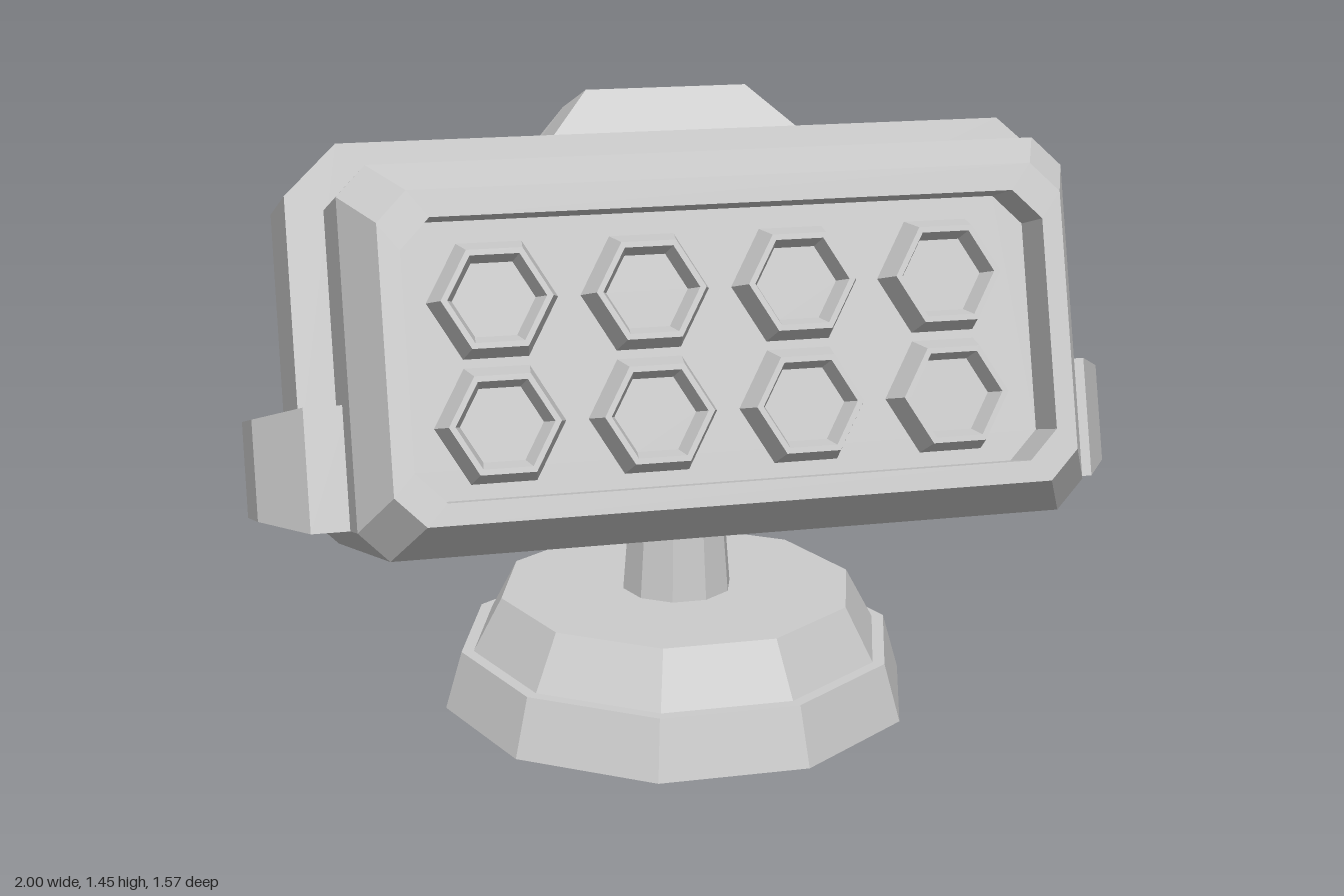
import * as THREE from 'three';

const material = new THREE.MeshStandardMaterial({ color: 0xcccccc, flatShading: true });

// Joins equal-sized loops of [x, y] placed at successive z, and caps both ends.
// sections: [{ z, pts }], pts counter-clockwise seen from +z
function loft(sections, capStart = true) {
  const pos = [];
  const put = (s, i) => {
    const p = s.pts[i % s.pts.length];
    pos.push(p[0], p[1], s.z);
  };
  const n = sections[0].pts.length;
  for (let k = 0; k + 1 < sections.length; k++) {
    const a = sections[k], b = sections[k + 1];
    for (let i = 0; i < n; i++) {
      put(a, i); put(a, i + 1); put(b, i + 1);
      put(a, i); put(b, i + 1); put(b, i);
    }
  }
  const first = sections[0], last = sections[sections.length - 1];
  for (let i = 1; i + 1 < n; i++) {
    if (capStart) { put(first, 0); put(first, i + 1); put(first, i); }
    put(last, 0); put(last, i); put(last, i + 1);
  }
  const g = new THREE.BufferGeometry();
  g.setAttribute('position', new THREE.Float32BufferAttribute(pos, 3));
  g.computeVertexNormals();
  return g;
}

// Rectangle with cut corners
function octagon(z, hx, y0, y1, c) {
  return { z, pts: [
    [hx, y0 + c], [hx, y1 - c], [hx - c, y1], [c - hx, y1],
    [-hx, y1 - c], [-hx, y0 + c], [c - hx, y0], [hx - c, y0],
  ] };
}

function hexagon(z, r, cx, cy) {
  const pts = [];
  for (let i = 0; i < 6; i++) {
    const a = (i * Math.PI) / 3;
    pts.push([cx + r * Math.cos(a), cy + r * Math.sin(a)]);
  }
  return { z, pts };
}

function add(parent, name, geometry) {
  const mesh = new THREE.Mesh(geometry, material);
  mesh.name = name;
  parent.add(mesh);
  return mesh;
}

export function createModel() {
  const model = new THREE.Group();
  model.name = 'launcherTurret';

  // Ten-sided stepped base and stem, corners facing sideways
  const base = new THREE.Group();
  base.name = 'base';
  base.position.z = 0.15;
  model.add(base);
  const drum = (name, rTop, rBottom, y0, y1) => {
    const g = new THREE.CylinderGeometry(rTop, rBottom, y1 - y0, 10);
    g.rotateY(Math.PI / 2).translate(0, (y0 + y1) / 2, 0);
    add(base, name, g);
  };
  drum('baseLower', 0.525, 0.565, 0, 0.138);
  drum('baseUpper', 0.427, 0.5, 0.13, 0.265);
  drum('stem', 0.105, 0.132, 0.26, 0.6);

  // Head, tilted upward about x
  const head = new THREE.Group();
  head.name = 'head';
  head.rotation.x = -0.288;
  model.add(head);

  // Housing with bevelled front and recessed panel
  add(head, 'housing', loft([
    octagon(-0.322, 0.815, 0.347, 1.185, 0.065),
    octagon(0.802, 0.815, 0.347, 1.185, 0.065),
    octagon(0.942, 0.75, 0.418, 1.114, 0.065),
    octagon(0.942, 0.705, 0.465, 1.056, 0.065),
    octagon(0.82, 0.705, 0.465, 1.056, 0.065),
  ]));

  // Two rows of hexagonal launch tubes
  for (const y of [0.62, 0.885]) {
    for (const x of [-0.5, -0.167, 0.167, 0.5]) {
      add(head, 'launchTube', loft([
        hexagon(0.82, 0.142, x, y),
        hexagon(0.888, 0.12, x, y),
        hexagon(0.888, 0.106, x, y),
        hexagon(0.84, 0.09, x, y),
      ], false));
    }
  }

  // Band wrapped over the top and sides
  const bandPts = [
    [-0.9, 0.6], [0.9, 0.6], [0.9, 1.155], [0.78, 1.267], [-0.78, 1.267], [-0.9, 1.155],
  ];
  add(head, 'band', loft([{ z: 0.1, pts: bandPts }, { z: 0.52, pts: bandPts }]));

  // Raised block on top of the band
  const block = (z, hx, top) => ({ z, pts: [[-0.285, 1.26], [0.285, 1.26], [hx, top], [-hx, top]] });
  add(head, 'topBlock', loft([
    block(0.1, 0.285, 1.267), block(0.165, 0.19, 1.377),
    block(0.449, 0.19, 1.377), block(0.52, 0.285, 1.267),
  ]));

  // Plate folded over the top and back
  const profile = [
    [0.11, 1.17], [0.11, 1.269], [-0.412, 1.269], [-0.453, 1.229],
    [-0.453, 0.708], [-0.41, 0.668], [-0.334, 0.668], [-0.334, 1.192], [-0.3, 1.192], [-0.3, 1.17],
  ].map(([z, y]) => new THREE.Vector2(z, y));
  const plate = new THREE.ExtrudeGeometry(new THREE.Shape(profile), { depth: 0.57, bevelEnabled: false });
  plate.translate(0, 0, -0.285).rotateY(-Math.PI / 2);
  add(head, 'backPlate', plate);

  // Side clamps, bulging in the middle
  for (const side of [1, -1]) {
    const section = (z, x, y0, y1) => {
      const pts = [[0.8, 0.412], [0.9, 0.412], [x, y0], [x, y1], [0.9, 0.685], [0.8, 0.685]]
        .map(([px, py]) => [px * side, py]);
      return { z, pts: side > 0 ? pts : pts.reverse() };
    };
    add(head, side > 0 ? 'leftClamp' : 'rightClamp', loft([
      section(-0.037, 0.9, 0.412, 0.685),
      section(0.13, 1, 0.442, 0.668),
      section(0.49, 1, 0.442, 0.668),
      section(0.655, 0.9, 0.412, 0.685),
    ]));
  }

  return model;
}
